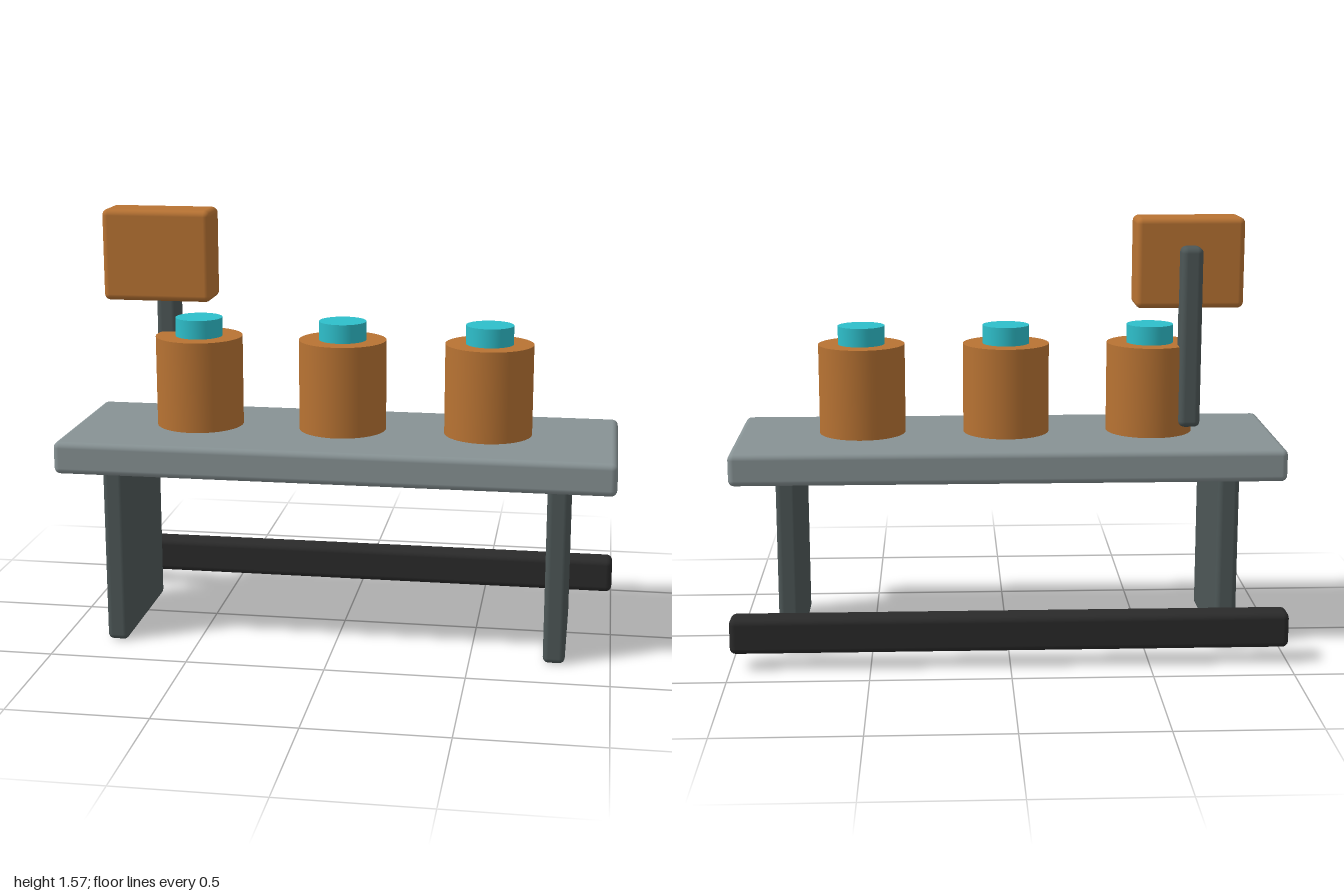
import * as THREE from 'three';
import { RoundedBoxGeometry } from 'three/addons/geometries/RoundedBoxGeometry.js';

const paint = (name, color) => {
  const m = new THREE.MeshStandardMaterial({ color });
  m.name = name;
  return m;
};

export function createModel() {
  const group = new THREE.Group();
  const copper = paint('copper', 0xb87333);
  const teal = paint('teal', 0x2ebfcb);
  const steel = paint('steel grey', 0x879294);
  const slate = paint('dark slate', 0x4d5757);
  const black = paint('black', 0x2a2a2a);

  const add = (name, geometry, material, x, y, z) => {
    const mesh = new THREE.Mesh(geometry, material);
    mesh.name = name;
    mesh.position.set(x, y, z);
    group.add(mesh);
  };
  // Rounded block given by its extents on each axis
  const block = (name, material, [x0, x1], [y0, y1], [z0, z1], radius) =>
    add(name, new RoundedBoxGeometry(x1 - x0, y1 - y0, z1 - z0, 3, radius), material,
      (x0 + x1) / 2, (y0 + y1) / 2, (z0 + z1) / 2);
  // Upright cylinder between two heights
  const drum = (name, material, r, y0, y1, x, z) =>
    add(name, new THREE.CylinderGeometry(r, r, y1 - y0, 48), material, x, (y0 + y1) / 2, z);

  // Bench: top, two slab legs and the rail behind
  block('benchTop', steel, [-1, 1], [0.645, 0.763], [-0.275, 0.392], 0.022);
  for (const [name, x] of [['rightLeg', -0.8], ['leftLeg', 0.8]]) {
    block(name, slate, [x - 0.039, x + 0.039], [0, 0.655], [-0.205, 0.327], 0.02);
  }
  block('rearRail', black, [-1, 1], [0.06, 0.19], [-0.392, -0.295], 0.022);

  // Three canisters with lids
  for (const x of [-0.533, 0, 0.533]) {
    drum('canister', copper, 0.159, 0.772, 1.103, x, 0.058);
    drum('canisterLid', teal, 0.086, 1.103, 1.171, x, 0.058);
  }

  // Sign panel on its post
  block('signPost', slate, [-0.706, -0.628], [0.808, 1.468], [-0.094, 0.01], 0.022);
  block('signPanel', copper, [-0.866, -0.47], [1.238, 1.568], [-0.024, 0.141], 0.022);

  return group;
}
